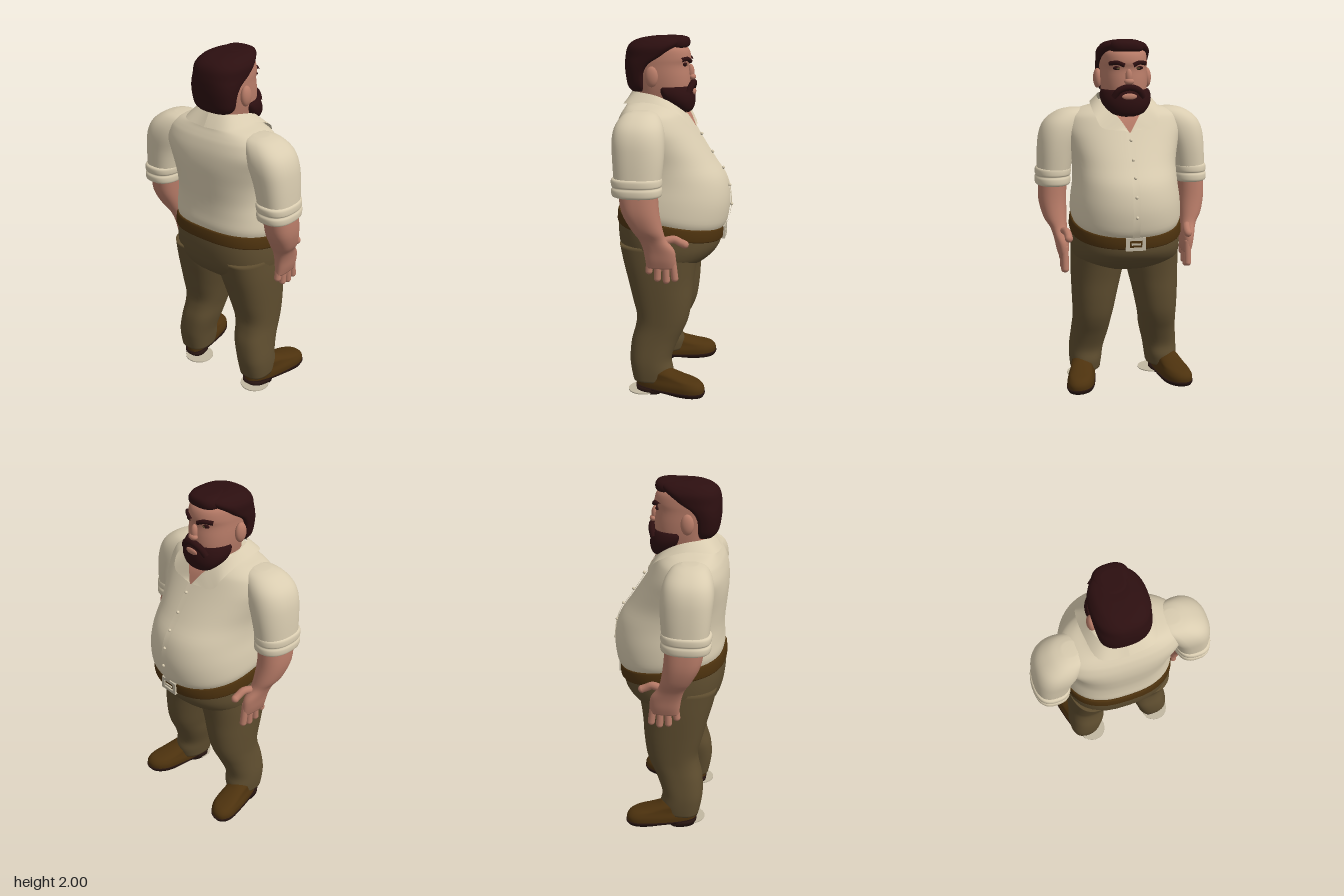
import * as THREE from 'three';

const mat = (name, color, side = THREE.FrontSide) => {
  const m = new THREE.MeshStandardMaterial({ color, side });
  m.name = name;
  return m;
};
const V = (p) => new THREE.Vector3(...p);

// Catmull-Rom between rows of numbers
function smoothRows(rows, steps) {
  const out = [];
  const at = (i) => rows[Math.max(0, Math.min(rows.length - 1, i))];
  for (let i = 0; i < rows.length - 1; i++) {
    for (let k = 0; k < steps; k++) {
      const t = k / steps;
      out.push(rows[i].map((b, c) => {
        const a = at(i - 1)[c], d = at(i + 1)[c], e = at(i + 2)[c];
        return b + 0.5 * t * (d - a + t * (2 * a - 5 * b + 4 * d - e + t * (3 * (b - d) + e - a)));
      }));
    }
  }
  out.push(rows[rows.length - 1]);
  return out;
}

// Stacked rounded cross-sections. Row: [y, back x, widest x, front x, half width, centre z, tilt]
function loft(rows, { nf = 2.2, nb = 2.6, side = 1, shear = 0, steps = 4, seg = 40 } = {}) {
  let full = rows.map((r) => [...r, ...[0, 0].slice(r.length - 5)]);
  if (full[0][0] > full[full.length - 1][0]) full = full.reverse();
  full = smoothRows(full, steps);
  const pos = [], idx = [];
  for (const [y, xb, cx, xf, hw, zc, tilt] of full) {
    for (let j = 0; j < seg; j++) {
      const a = (j / seg) * Math.PI * 2, c = Math.cos(a), s = Math.sin(a), e = 2 / (c > 0 ? nf : nb);
      const x = cx + (c > 0 ? xf - cx : xb - cx) * Math.abs(c) ** e;
      const z = Math.sign(s) * hw * Math.abs(s) ** e;
      pos.push(x, y + tilt * x, z + side * (zc + shear * x));
    }
  }
  const n = full.length;
  for (let i = 0; i < n - 1; i++) {
    for (let j = 0; j < seg; j++) {
      const k = (j + 1) % seg, a = i * seg + j, b = i * seg + k;
      idx.push(a, a + seg, b + seg, a, b + seg, b);
    }
  }
  // end caps
  [0, n - 1].forEach((i, top) => {
    const [y, xb, , xf, , zc, tilt] = full[i], x = (xb + xf) / 2, m = pos.length / 3;
    pos.push(x, y + tilt * x, side * (zc + shear * x));
    for (let j = 0; j < seg; j++) {
      const a = i * seg + j, b = i * seg + ((j + 1) % seg);
      if (top) idx.push(m, b, a); else idx.push(m, a, b);
    }
  });
  return build(pos, idx);
}

// Sheet spanned between two curved edges
function ruled(edgeA, edgeB, n = 24) {
  const A = new THREE.CatmullRomCurve3(edgeA.map(V)), B = new THREE.CatmullRomCurve3(edgeB.map(V));
  const pos = [], idx = [];
  for (let i = 0; i <= n; i++) {
    pos.push(...A.getPoint(i / n).toArray(), ...B.getPoint(i / n).toArray());
    if (i < n) idx.push(2 * i, 2 * i + 1, 2 * i + 3, 2 * i, 2 * i + 3, 2 * i + 2);
  }
  return build(pos, idx);
}

function build(pos, idx) {
  const g = new THREE.BufferGeometry();
  g.setAttribute('position', new THREE.Float32BufferAttribute(pos, 3));
  g.setIndex(idx);
  g.computeVertexNormals();
  return g;
}

const tube = (pts, r) => new THREE.TubeGeometry(new THREE.CatmullRomCurve3(pts.map(V)), 20, r, 10);
const blob = (p, r) => new THREE.SphereGeometry(1, 20, 14).scale(...r).translate(...p);

export function createModel() {
  const model = new THREE.Group();
  const shirt = mat('cream shirt', 0xd9ccb0, THREE.DoubleSide);
  const skin = mat('skin', 0xb87c68, THREE.DoubleSide);
  const hair = mat('dark brown hair', 0x2c0f10);
  const trousers = mat('olive trousers', 0x5e4d2f);
  const leather = mat('brown leather', 0x4d320e);
  const sole = mat('dark sole', 0x26140f);
  const metal = mat('pale buckle', 0xc2b8a2);
  const add = (name, geometry, material) => {
    const m = new THREE.Mesh(geometry, material);
    m.name = name;
    model.add(m);
    return m;
  };

  // Torso with a big belly and a tilted hem
  add('shirtBody', loft([
    [0.985, -0.3, -0.03, 0.285, 0.303, 0, -0.18], [1.03, -0.305, -0.03, 0.308, 0.315, 0, -0.16],
    [1.12, -0.3, -0.03, 0.32, 0.31, 0, -0.07], [1.22, -0.3, -0.04, 0.295, 0.297],
    [1.32, -0.31, -0.07, 0.23, 0.298], [1.42, -0.318, -0.1, 0.165, 0.32], [1.5, -0.312, -0.13, 0.115, 0.34],
    [1.56, -0.295, -0.13, 0.08, 0.325], [1.59, -0.28, -0.13, 0.06, 0.3], [1.615, -0.265, -0.13, 0.035, 0.25],
    [1.635, -0.255, -0.12, 0.02, 0.18], [1.66, -0.23, -0.11, 0, 0.13]], { seg: 56 }), shirt);
  add('placket', ruled(...[-0.02, 0.02].map((z) => [[0.121, 1.5, z], [0.172, 1.42, z], [0.237, 1.32, z],
    [0.301, 1.22, z], [0.327, 1.1, z], [0.318, 0.99, z], [0.293, 0.93, z]])), shirt);
  [[0.155, 1.46], [0.217, 1.36], [0.278, 1.27], [0.317, 1.17], [0.329, 1.06]].forEach(([x, y]) =>
    add('shirtButton', blob([x, y, 0], [0.009, 0.009, 0.009]), shirt));
  add('openNeck', ruled(...[-1, 1].map((s) =>
    [[0.045, 1.62, s * 0.09], [0.088, 1.57, s * 0.05], [0.124, 1.5, s * 0.004]])), skin);

  // Hips, belt and buckle
  add('hips', loft([
    [1.0, -0.3, -0.03, 0.27, 0.302, 0, -0.18], [0.9, -0.312, -0.03, 0.27, 0.312, 0, -0.14],
    [0.82, -0.3, -0.03, 0.25, 0.312, 0, -0.04], [0.76, -0.265, -0.04, 0.2, 0.295],
    [0.72, -0.22, -0.05, 0.13, 0.22], [0.7, -0.15, -0.05, 0.05, 0.1]]), trousers);
  add('belt', loft([
    [0.922, -0.312, -0.03, 0.278, 0.316, 0, -0.18], [0.93, -0.318, -0.03, 0.288, 0.322, 0, -0.18],
    [0.985, -0.314, -0.03, 0.292, 0.318, 0, -0.18], [0.993, -0.306, -0.03, 0.284, 0.31, 0, -0.18]], { steps: 2 }), leather);
  const frame = new THREE.Shape([[-0.056, -0.037], [0.056, -0.037], [0.056, 0.037], [-0.056, 0.037]].map((p) => new THREE.Vector2(...p)));
  frame.holes.push(new THREE.Path([[-0.036, -0.02], [-0.036, 0.02], [0.036, 0.02], [0.036, -0.02]].map((p) => new THREE.Vector2(...p))));
  const buckle = add('buckle', new THREE.ExtrudeGeometry(frame, { depth: 0.018, bevelEnabled: false }), metal);
  buckle.rotation.y = Math.PI / 2;
  buckle.position.set(0.28, 0.905, 0);
  add('bucklePin', new THREE.BoxGeometry(0.008, 0.01, 0.05).translate(0.297, 0.905, 0), metal);

  // Neck, face and ears
  add('head', loft([
    [1.54, -0.2, -0.08, 0.02, 0.1], [1.62, -0.2, -0.08, 0.03, 0.105], [1.66, -0.2, -0.06, 0.07, 0.115],
    [1.72, -0.2, -0.06, 0.09, 0.126], [1.78, -0.21, -0.07, 0.09, 0.131], [1.84, -0.22, -0.08, 0.083, 0.131],
    [1.88, -0.22, -0.08, 0.092, 0.131], [1.93, -0.21, -0.08, 0.078, 0.124], [1.965, -0.17, -0.08, 0.03, 0.1]]), skin);
  add('nose', blob([0.092, 1.8, 0], [0.02, 0.045, 0.02]), skin);
  add('noseTip', blob([0.1, 1.776, 0], [0.021, 0.018, 0.028]), skin);
  add('hair', loft([
    [1.7, -0.235, -0.18, -0.155, 0.1], [1.73, -0.258, -0.18, -0.15, 0.125], [1.8, -0.27, -0.18, -0.145, 0.138],
    [1.85, -0.272, -0.16, -0.11, 0.144], [1.89, -0.27, -0.12, -0.04, 0.147], [1.935, -0.26, -0.1, 0.02, 0.147],
    [1.965, -0.235, -0.08, 0.05, 0.13], [1.985, -0.19, -0.08, 0.05, 0.105], [1.997, -0.12, -0.06, 0.02, 0.06]],
  { nf: 3, nb: 2.4 }), hair);
  add('fringe', loft([
    [1.935, -0.1, 0, 0.065, 0.08], [1.945, -0.12, 0, 0.082, 0.095], [1.97, -0.12, 0, 0.086, 0.095],
    [1.99, -0.11, 0, 0.075, 0.08], [2.0, -0.07, 0, 0.04, 0.05]], { nf: 2.6 }), hair);

  // Beard, moustache and mouth
  add('beard', loft([
    [1.582, 0.02, 0.05, 0.085, 0.045], [1.6, -0.01, 0.05, 0.105, 0.09], [1.64, -0.05, 0.02, 0.116, 0.128],
    [1.68, -0.07, -0.01, 0.114, 0.143], [1.712, -0.078, -0.03, 0.103, 0.141], [1.728, -0.07, -0.03, 0.09, 0.132]]), hair);
  add('moustache', tube([[0.085, 1.69, -0.082], [0.1, 1.728, -0.055], [0.107, 1.745, 0],
    [0.1, 1.728, 0.055], [0.085, 1.69, 0.082]], 0.018), hair);
  add('mouth', blob([0.112, 1.695, 0], [0.009, 0.017, 0.042]), skin);

  for (const s of [1, -1]) {
    const side = s > 0 ? 'left' : 'right';
    const S = (pts) => pts.map(([x, y, z]) => [x, y, s * z]);
    const part = (name, rows, material, opts = {}) => add(side + name, loft(rows, { side: s, ...opts }), material);

    // Ear, brow and eye
    add(side + 'Ear', blob([-0.105, 1.785, s * 0.143], [0.036, 0.056, 0.024]), skin);
    add(side + 'Brow', tube(S([[0.092, 1.862, 0.022], [0.08, 1.877, 0.06], [0.05, 1.872, 0.1]]), 0.012), hair);
    add(side + 'Eye', blob([0.066, 1.848, s * 0.058], [0.012, 0.012, 0.026]), hair);
    add(side + 'Iris', blob([0.074, 1.846, s * 0.056], [0.007, 0.006, 0.011]), trousers);

    // Collar flap
    add(side + 'Collar', ruled(
      S([[-0.235, 1.7, 0], [-0.19, 1.7, 0.11], [-0.08, 1.685, 0.152], [0.02, 1.635, 0.12], [0.082, 1.575, 0.065], [0.124, 1.5, 0.008]]),
      S([[-0.278, 1.63, 0], [-0.25, 1.638, 0.15], [-0.1, 1.648, 0.188], [0.058, 1.585, 0.182], [0.102, 1.525, 0.15], [0.126, 1.51, 0.03]])), shirt);

    // Sleeve with rolled cuff
    part('Sleeve', [
      [1.618, -0.18, -0.14, -0.1, 0.04, 0.27], [1.6, -0.23, -0.14, -0.05, 0.09, 0.285], [1.55, -0.265, -0.14, -0.015, 0.115, 0.328],
      [1.48, -0.278, -0.14, 0, 0.12, 0.357], [1.38, -0.272, -0.14, 0, 0.107, 0.383], [1.25, -0.262, -0.14, -0.012, 0.095, 0.4]], shirt);
    part('Cuff', [
      [1.285, -0.258, -0.14, -0.02, 0.09, 0.398], [1.275, -0.276, -0.14, -0.008, 0.102, 0.4], [1.245, -0.276, -0.14, -0.006, 0.102, 0.402],
      [1.235, -0.268, -0.14, -0.012, 0.097, 0.403], [1.22, -0.276, -0.14, -0.006, 0.102, 0.404], [1.19, -0.272, -0.14, -0.008, 0.1, 0.404],
      [1.18, -0.25, -0.14, -0.025, 0.085, 0.404]], shirt);

    // Forearm, hand, fingers and thumb
    part('Forearm', [
      [1.22, -0.24, -0.13, -0.03, 0.08, 0.405], [1.1, -0.222, -0.12, -0.022, 0.08, 0.41], [1.0, -0.172, -0.09, -0.005, 0.067, 0.4],
      [0.94, -0.135, -0.06, 0.012, 0.048, 0.383], [0.88, -0.115, -0.03, 0.055, 0.04, 0.372], [0.82, -0.105, -0.02, 0.062, 0.034, 0.366],
      [0.775, -0.1, -0.02, 0.058, 0.022, 0.364]], skin);
    [[-0.082, 0.755], [-0.038, 0.715], [0.006, 0.705], [0.048, 0.718]].forEach(([x, y], i) =>
      add(side + 'Finger', new THREE.CapsuleGeometry(0.02, 0.84 - y, 5, 12).rotateZ(0.08 * (i - 1.5))
        .translate(x, (y + 0.84) / 2, s * 0.36), skin));
    add(side + 'Thumb', tube(S([[0, 0.93, 0.365], [0.05, 0.935, 0.35], [0.085, 0.918, 0.345], [0.108, 0.908, 0.345]]), 0.022), skin);
    add(side + 'ThumbTip', blob([0.108, 0.908, s * 0.345], [0.022, 0.022, 0.022]), skin);

    // Trouser leg
    part('Leg', [
      [0.86, -0.285, -0.05, 0.17, 0.145, 0.162], [0.75, -0.262, -0.05, 0.15, 0.153, 0.16], [0.65, -0.235, -0.05, 0.135, 0.143, 0.17],
      [0.55, -0.21, -0.04, 0.127, 0.13, 0.181], [0.45, -0.185, -0.04, 0.113, 0.118, 0.19], [0.38, -0.192, -0.05, 0.09, 0.11, 0.197],
      [0.3, -0.213, -0.08, 0.052, 0.107, 0.206], [0.2, -0.22, -0.1, 0.016, 0.1, 0.224], [0.13, -0.212, -0.1, 0.026, 0.095, 0.23],
      [0.07, -0.2, -0.1, 0.015, 0.088, 0.232]], trousers);

    // Shoe, sole and heel, toes turned out
    part('Shoe', [
      [0.022, -0.185, 0.1, 0.212, 0.078, 0.265], [0.06, -0.185, 0.1, 0.215, 0.08, 0.265], [0.09, -0.18, 0.08, 0.19, 0.07, 0.265],
      [0.107, -0.175, 0.02, 0.13, 0.065, 0.265], [0.13, -0.17, -0.05, 0.05, 0.06, 0.265], [0.15, -0.14, -0.06, 0.01, 0.045, 0.265]],
    leather, { shear: 0.2 });
    part('Sole', [[0.01, 0, 0.1, 0.21, 0.076, 0.265], [0.025, -0.188, 0.1, 0.219, 0.083, 0.265], [0.035, -0.188, 0.1, 0.219, 0.083, 0.265]],
      sole, { shear: 0.2, steps: 1 });
    part('Heel', [[0, -0.185, -0.1, -0.03, 0.07, 0.265], [0.03, -0.188, -0.1, -0.03, 0.072, 0.265]], sole, { shear: 0.2, steps: 1 });

    // Thin pale patch on the ground at the heel
    add(side + 'HeelPatch', new THREE.CylinderGeometry(0.085, 0.085, 0.006, 20).translate(-0.145, 0.006, s > 0 ? 0.25 : -0.19), metal);
  }
  return model;
}
